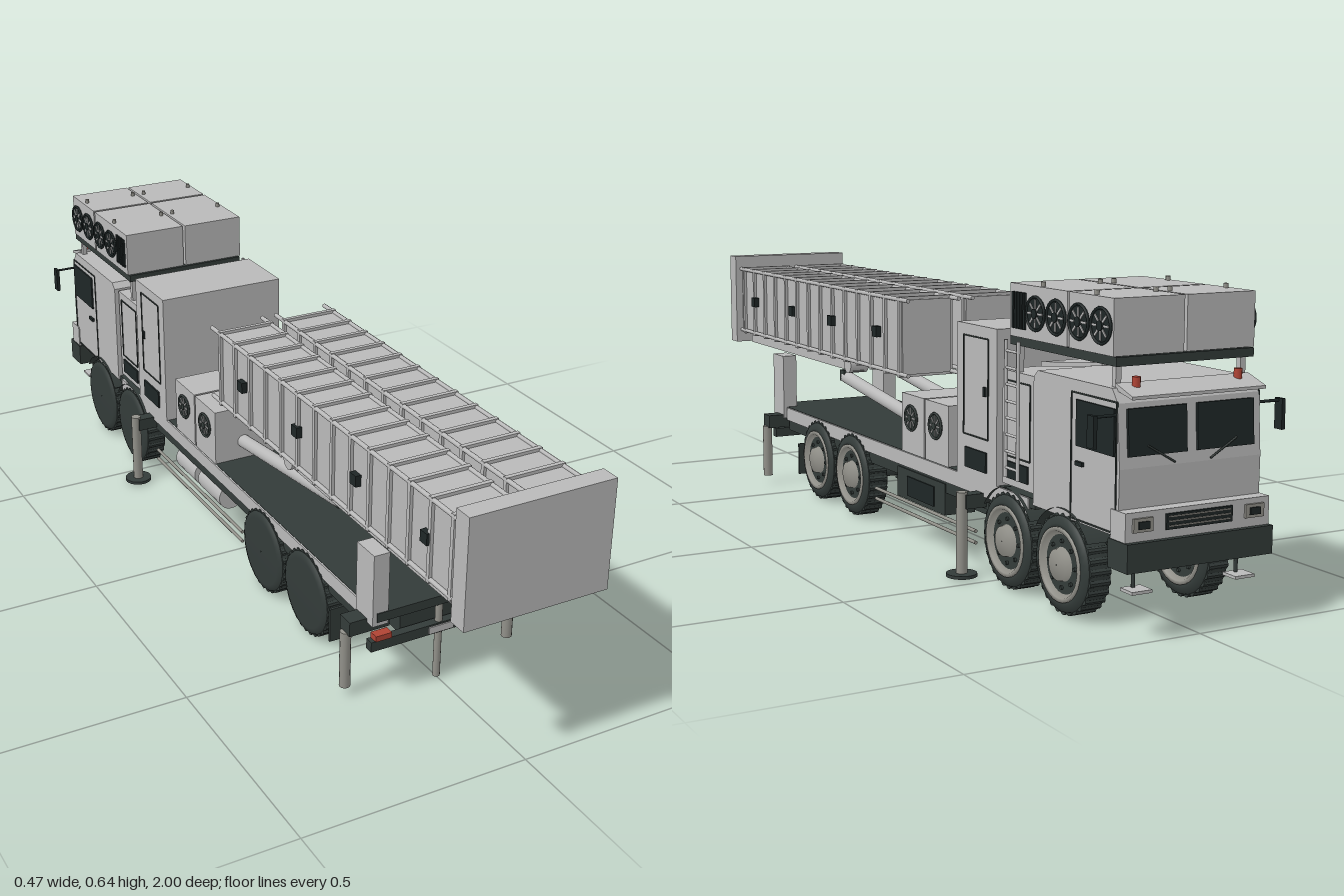
import * as THREE from 'three';

const mat = (name, color) => {
  const m = new THREE.MeshStandardMaterial({ color });
  m.name = name;
  return m;
};

export function createModel() {
  const light = mat('light grey paint', 0xb9b9b9);
  const dark = mat('dark chassis green', 0x333b39);
  const black = mat('black trim', 0x1e2626);
  const steel = mat('bare steel', 0x92918a);
  const red = mat('red lamp', 0xb04334);
  const band = mat('fender rubber', 0x333b39);
  band.side = THREE.DoubleSide;
  const root = new THREE.Group();

  const add = (name, geo, m, parent = root) => {
    const mesh = new THREE.Mesh(geo, m);
    mesh.name = name;
    parent.add(mesh);
    return mesh;
  };
  // Box given by its limits on each axis
  const box = (name, m, [x0, x1], [y0, y1], [z0, z1]) => {
    const mesh = add(name, new THREE.BoxGeometry(Math.abs(x1 - x0), Math.abs(y1 - y0), Math.abs(z1 - z0)), m);
    mesh.position.set((x0 + x1) / 2, (y0 + y1) / 2, (z0 + z1) / 2);
    return mesh;
  };
  const pair = (name, m, [x0, x1], y, z) => [1, -1].forEach(s => box(name, m, [s * x0, s * x1], y, z));
  // Round bar between two points
  const bar = (name, m, a, b, r, n = 12) => {
    const p = new THREE.Vector3(...a), q = new THREE.Vector3(...b), d = q.clone().sub(p);
    const mesh = add(name, new THREE.CylinderGeometry(r, r, d.length(), n), m);
    mesh.position.copy(p).add(q).multiplyScalar(0.5);
    mesh.quaternion.setFromUnitVectors(new THREE.Vector3(0, 1, 0), d.normalize());
    return mesh;
  };
  // Side profile of [z, y] points, extruded across x
  const profile = (name, m, pts, w) => {
    const shape = new THREE.Shape(pts.map(([z, y]) => new THREE.Vector2(-z, y)));
    const g = new THREE.ExtrudeGeometry(shape, { depth: w, bevelEnabled: false });
    return add(name, g.translate(0, 0, -w / 2).rotateY(Math.PI / 2), m);
  };
  // Round grille with blades on a side wall
  const fan = (x, y, z, r, disc, blade) => {
    const s = Math.sign(x);
    bar('fanDisc', disc, [x, y, z], [x + s * 0.004, y, z], r, 24);
    for (let i = 0; i < 4; i++) {
      const b = add('fanBlade', new THREE.BoxGeometry(0.003, r * 1.65, r * 0.14), blade);
      b.position.set(x + s * 0.004, y, z);
      b.rotation.x = (i * Math.PI) / 4;
    }
    bar('fanHub', disc, [x, y, z], [x + s * 0.008, y, z], r * 0.3, 12);
    const ring = add('fanRing', new THREE.TorusGeometry(r, 0.003, 6, 24), disc);
    ring.rotation.y = Math.PI / 2;
    ring.position.set(x + s * 0.004, y, z);
  };
  // Thin rectangular outline on a side wall
  const outline = (x, [y0, y1], [z0, z1]) => {
    const t = 0.003, xs = [x - 0.002, x + 0.002];
    [y0, y1].forEach(y => box('doorSeam', dark, xs, [y - t / 2, y + t / 2], [z0, z1]));
    [z0, z1].forEach(z => box('doorSeam', dark, xs, [y0, y1], [z - t / 2, z + t / 2]));
  };

  // Chassis and deck
  box('chassisFrame', dark, [-0.085, 0.085], [0.125, 0.18], [0.66, -0.93]);
  box('deck', dark, [-0.155, 0.155], [0.185, 0.206], [0.685, -0.66]);
  pair('deckEdge', light, [0.155, 0.159], [0.172, 0.205], [0.61, -0.64]);
  pair('lowerSill', dark, [0.085, 0.152], [0.145, 0.186], [0.61, -0.64]);
  box('gearbox', dark, [-0.07, 0.07], [0.095, 0.13], [-0.1, -0.4]);

  // Wheels: all share the same orientation, rims facing +x
  const tyreGeo = new THREE.LatheGeometry(
    [[0.001, -0.03], [0.08, -0.03], [0.093, -0.026], [0.097, -0.018], [0.097, 0.018], [0.093, 0.026], [0.08, 0.03], [0.07, 0.03], [0.066, 0.018], [0.001, 0.018]]
      .map(p => new THREE.Vector2(...p)), 32).rotateZ(-Math.PI / 2);
  const gear = new THREE.Shape();
  for (let i = 0; i < 112; i++) {
    const a = (i / 112) * Math.PI * 2, r = i % 4 < 2 ? 0.1 : 0.096;
    gear[i ? 'lineTo' : 'moveTo'](r * Math.cos(a), r * Math.sin(a));
  }
  const treadGeo = new THREE.ExtrudeGeometry(gear, { depth: 0.046, bevelEnabled: false })
    .translate(0, 0, -0.023).rotateY(Math.PI / 2);
  const rimGeo = new THREE.LatheGeometry(
    [[0.074, 0.027], [0.074, 0.033], [0.066, 0.033], [0.058, 0.022], [0.034, 0.022], [0.031, 0.036], [0.001, 0.037]]
      .reverse().map(p => new THREE.Vector2(...p)), 28).rotateZ(-Math.PI / 2);
  const rimMat = mat('wheel rim', 0x92918a);
  rimMat.side = THREE.DoubleSide;
  const boltGeo = new THREE.CylinderGeometry(0.004, 0.004, 0.01, 6).rotateZ(Math.PI / 2);
  for (const z of [0.395, 0.19, -0.565, -0.775]) {
    bar('axle', dark, [-0.13, 0.102, z], [0.13, 0.102, z], 0.014);
    box('axleHousing', dark, [-0.03, 0.03], [0.075, 0.135], [z - 0.03, z + 0.03]);
    for (const s of [1, -1]) {
      const wheel = new THREE.Group();
      wheel.name = 'wheel';
      add('tyre', tyreGeo, dark, wheel);
      add('tread', treadGeo, dark, wheel);
      add('rim', rimGeo, rimMat, wheel);
      for (let i = 0; i < 8; i++) {
        const a = (i * Math.PI) / 4;
        add('wheelBolt', boltGeo, dark, wheel).position.set(0.023, 0.046 * Math.cos(a), 0.046 * Math.sin(a));
      }
      wheel.position.set(s * 0.138, 0.102, z);
      root.add(wheel);
      // Fender bands over the steering wheels
      if (z < 0) {
        const f = add('fender', new THREE.CylinderGeometry(0.11, 0.11, 0.055, 20, 1, true, -1, 2).rotateX(-Math.PI / 2).rotateY(Math.PI / 2).rotateX(0), band);
        f.geometry.computeBoundingBox();
        if (f.geometry.boundingBox.max.y < 0.1) f.rotation.x = Math.PI;
        f.position.set(s * 0.138, 0.102, z);
      }
    }
  }
  pair('mudFlap', dark, [0.107, 0.168], [0.045, 0.125], [0.508, 0.514]);

  // Side guards, tool box and tanks
  for (const s of [1, -1]) for (const y of [0.09, 0.065])
    bar('sideGuard', steel, [s * 0.155, y, 0.07], [s * 0.155, y, -0.42], 0.004, 8);
  box('toolBox', dark, [0.08, 0.155], [0.095, 0.165], [-0.045, -0.28]);
  box('toolBoxDoor', black, [0.155, 0.158], [0.105, 0.15], [-0.1, -0.23]);
  bar('airTank', light, [-0.125, 0.12, -0.05], [-0.125, 0.12, -0.17], 0.032, 20);
  bar('airTank', light, [-0.125, 0.12, -0.19], [-0.125, 0.12, -0.3], 0.032, 20);

  // Rear beam, lamps and stabilisers
  box('rearBeam', dark, [-0.168, 0.168], [0.118, 0.141], [0.665, 0.685]);
  box('blankPlate', light, [-0.03, 0.03], [0.121, 0.137], [0.685, 0.688]);
  pair('tailLamp', red, [0.122, 0.16], [0.143, 0.156], [0.668, 0.69]);
  pair('stabiliserArm', dark, [0.11, 0.205], [0.152, 0.185], [0.62, 0.66]);
  pair('frontStabiliserArm', dark, [0.08, 0.2], [0.15, 0.18], [-0.43, -0.46]);
  bar('centreJack', steel, [0, 0.005, 0.675], [0, 0.185, 0.675], 0.008);
  for (const s of [1, -1]) {
    bar('rearJack', steel, [s * 0.203, 0.022, 0.64], [s * 0.203, 0.155, 0.64], 0.012);
    bar('frontJack', steel, [s * 0.203, 0.01, -0.445], [s * 0.203, 0.185, -0.445], 0.012);
    bar('frontJackPad', dark, [s * 0.203, 0.005, -0.445], [s * 0.203, 0.012, -0.445], 0.033, 20);
  }

  // Launcher support, tilting frame and lifting rams
  pair('hingePost', light, [0.128, 0.165], [0.176, 0.342], [0.615, 0.683]);
  pair('tiltRail', light, [0.1, 0.13], [0.345, 0.368], [0.25, 0.93]);
  for (let i = 0; i < 6; i++)
    box('tiltCrossMember', light, [-0.1, 0.1], [0.35, 0.366], [0.26 + i * 0.125, 0.285 + i * 0.125]);
  for (const s of [1, -1]) {
    bar('pivotBoss', light, [s * 0.09, 0.36, 0.265], [s * 0.138, 0.36, 0.265], 0.02, 16);
    bar('liftingRam', light, [s * 0.08, 0.31, 0.4], [s * 0.08, 0.25, -0.075], 0.016, 16);
    box('ramHead', dark, [s * 0.068, s * 0.093], [0.3, 0.328], [0.385, 0.41]);
  }

  // Twin ribbed canisters with a shared end cap
  box('endCap', light, [-0.164, 0.164], [0.344, 0.584], [0.957, 1]);
  for (const s of [1, -1]) {
    box('canister', light, [s * 0.02, s * 0.145], [0.376, 0.548], [-0.055, 0.957]);
    for (let i = 0; i < 14; i++) {
      const z = -0.045 + i * 0.075;
      box('canisterRib', light, [s * 0.014, s * 0.152], [0.37, 0.555], [z - 0.005, z + 0.005]);
    }
    for (const x of [0.018, 0.148]) for (const y of [0.378, 0.549])
      bar('canisterRod', light, [s * x, y, -0.09], [s * x, y, 0.957], 0.005, 8);
    for (const z of [0.845, 0.58, 0.33, 0.07])
      box('canisterLatch', black, [s * 0.143, s * 0.158], [0.452, 0.477], [z - 0.012, z + 0.012]);
  }

  // Generator boxes and equipment cabinet
  box('generatorBox', light, [-0.155, 0.155], [0.205, 0.34], [-0.07, -0.18]);
  box('generatorBox', light, [-0.155, 0.155], [0.205, 0.34], [-0.186, -0.295]);
  box('equipmentCabinet', light, [-0.16, 0.16], [0.205, 0.53], [-0.345, -0.515]);
  box('cabinRearModule', light, [-0.152, 0.152], [0.215, 0.45], [-0.525, -0.652]);
  for (const s of [1, -1]) {
    for (const z of [-0.122, -0.24]) fan(s * 0.155, 0.288, z, 0.028, dark, light);
    outline(s * 0.16, [0.295, 0.505], [-0.375, -0.48]);
    box('doorHandle', black, [s * 0.16, s * 0.165], [0.385, 0.405], [-0.465, -0.472]);
    box('cabinetVent', black, [s * 0.16, s * 0.164], [0.225, 0.268], [-0.385, -0.475]);
    box('moduleVent', black, [s * 0.152, s * 0.156], [0.23, 0.265], [-0.54, -0.63]);
    outline(s * 0.152, [0.275, 0.43], [-0.54, -0.635]);
  }

  // Ladder
  for (const z of [-0.562, -0.61]) bar('ladderRail', light, [0.166, 0.235, z], [0.166, 0.515, z], 0.004, 8);
  for (let i = 0; i < 8; i++) bar('ladderRung', light, [0.166, 0.255 + i * 0.034, -0.562], [0.166, 0.255 + i * 0.034, -0.61], 0.003, 8);

  // Cab
  profile('cab', light, [[-0.66, 0.195], [-0.96, 0.195], [-0.962, 0.32], [-0.953, 0.44], [-0.935, 0.466], [-0.675, 0.466], [-0.66, 0.452]], 0.32);
  box('cabFloor', dark, [-0.1, 0.1], [0.15, 0.196], [-0.66, -0.95]);
  profile('sunVisor', light, [[-0.93, 0.462], [-0.985, 0.45], [-0.985, 0.456], [-0.93, 0.474]], 0.3);
  profile('roofFairing', light, [[-0.62, 0.464], [-0.84, 0.492], [-0.84, 0.499], [-0.62, 0.474]], 0.24);
  for (const s of [1, -1]) {
    box('sideWindow', black, [s * 0.16, s * 0.164], [0.342, 0.43], [-0.82, -0.948]);
    outline(s * 0.16, [0.2, 0.442], [-0.8, -0.952]);
    box('doorHandle', black, [s * 0.16, s * 0.166], [0.305, 0.313], [-0.82, -0.845]);
    const pane = box('windscreen', black, [s * 0.012, s * 0.142], [0.342, 0.43], [-0.957, -0.963]);
    pane.rotation.x = 0.06;
    bar('wiper', dark, [s * 0.04, 0.325, -0.966], [s * 0.1, 0.36, -0.966], 0.002, 6);
    box('headlamp', steel, [s * 0.105, s * 0.148], [0.208, 0.234], [-0.988, -0.993]);
    box('headlampLens', black, [s * 0.114, s * 0.138], [0.214, 0.228], [-0.992, -0.996]);
    bar('beacon', red, [s * 0.115, 0.462, -0.945], [s * 0.115, 0.486, -0.945], 0.008, 12);
    bar('mirrorArm', black, [s * 0.155, 0.419, -0.95], [s * 0.214, 0.419, -0.95], 0.003, 8);
    box('mirror', black, [s * 0.209, s * 0.217], [0.363, 0.423], [-0.94, -0.962]);
    box('bumperStep', light, [s * 0.095, s * 0.14], [0.088, 0.094], [-0.94, -0.98]);
    bar('stepHanger', dark, [s * 0.118, 0.09, -0.95], [s * 0.118, 0.15, -0.95], 0.004, 8);
  }
  box('nosePanel', light, [-0.163, 0.163], [0.19, 0.245], [-0.94, -0.988]);
  box('noseGrille', black, [-0.075, 0.075], [0.206, 0.236], [-0.988, -0.992]);
  for (let i = 0; i < 3; i++) box('grilleSlat', steel, [-0.07, 0.07], [0.211 + i * 0.009, 0.214 + i * 0.009], [-0.991, -0.994]);
  box('frontBumper', dark, [-0.165, 0.165], [0.135, 0.19], [-0.935, -0.999]);

  // Roof cooling units on a raised tray
  box('roofTray', dark, [-0.155, 0.155], [0.505, 0.522], [-0.56, -0.94]);
  for (const s of [1, -1]) {
    for (const z of [-0.575, -0.92]) box('trayLeg', light, [s * 0.135, s * 0.147], [0.44, 0.507], [z - 0.006, z + 0.006]);
    for (const [a, b] of [[-0.565, -0.778], [-0.786, -0.935]]) {
      box('coolingUnit', light, [s * 0.003, s * 0.159], [0.523, 0.629], [a, b]);
      for (const x of [0.016, 0.147]) bar('liftingEye', steel, [s * x, 0.627, (a + b) / 2], [s * x, 0.638, (a + b) / 2], 0.005, 8);
    }
    for (const z of [-0.668, -0.743, -0.823, -0.898]) fan(s * 0.159, 0.576, z, 0.033, black, light);
    for (let i = 0; i < 5; i++)
      box('louvre', black, [s * 0.159, s * 0.163], [0.54, 0.613], [-0.577 - i * 0.011, -0.584 - i * 0.011]);
  }
  return root;
}
